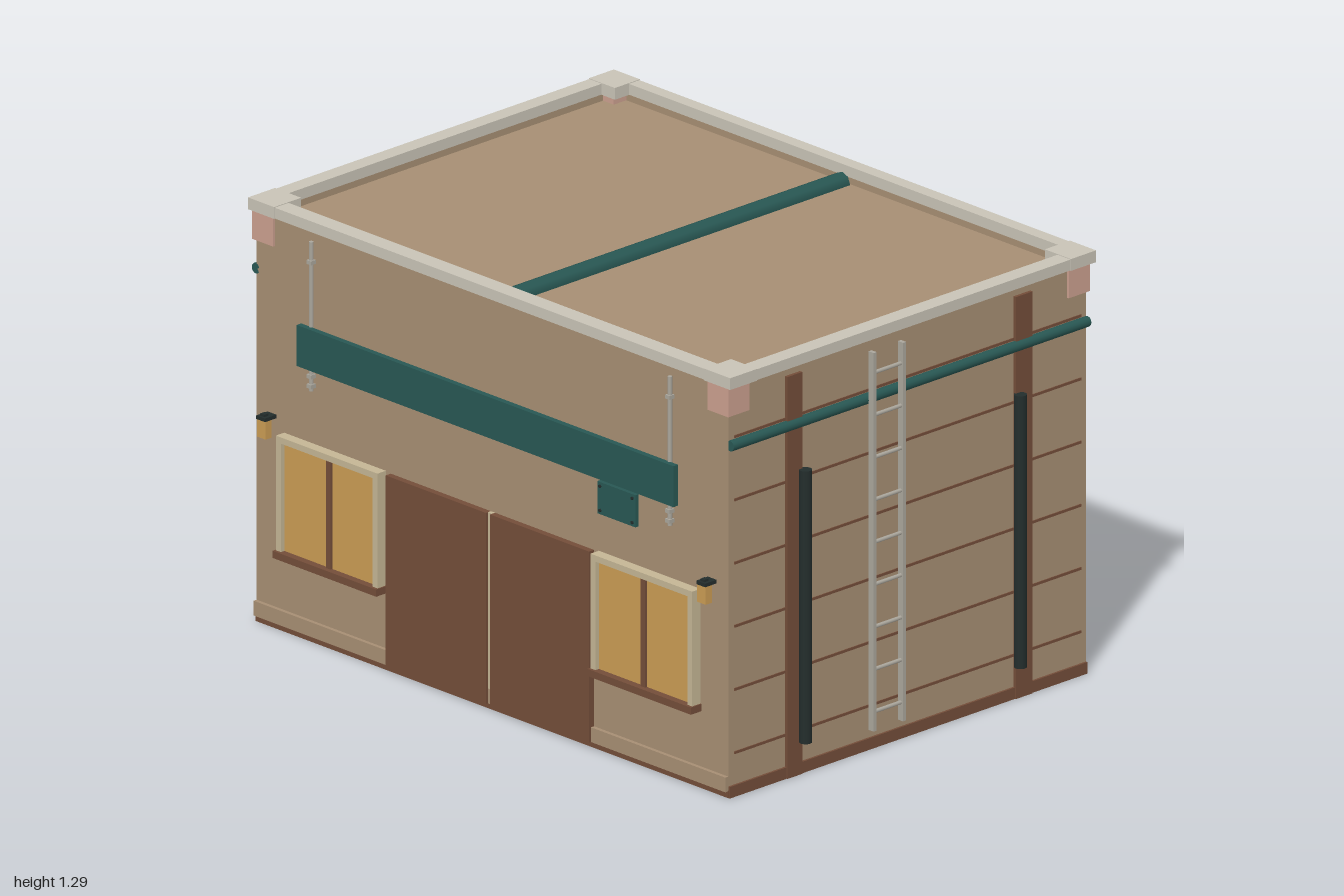
import * as THREE from 'three';

const mat = (name, color) => new THREE.MeshStandardMaterial({ name, color });

export function createModel() {
  const g = new THREE.Group();
  g.name = 'workshopBuilding';
  const tan = mat('tan wall', 0xa68e73), brown = mat('brown timber', 0x734d39);
  const green = mat('green paint', 0x285753), cream = mat('pale trim', 0xc8c3b6);
  const pink = mat('pink corner', 0xcb9f8e), amber = mat('amber glass', 0xca9c54);
  const dark = mat('dark iron', 0x232d2c), grey = mat('grey metal', 0xaaa69c);
  const frameMat = mat('window frame', 0xc4b594);
  const roofGreen = green.clone();
  roofGreen.name = 'green sheet';
  roofGreen.side = THREE.DoubleSide;

  const add = (name, geo, m) => {
    const mesh = new THREE.Mesh(geo, m);
    mesh.name = name;
    g.add(mesh);
    return mesh;
  };
  // box from min and max limits
  const box = (name, m, x0, x1, y0, y1, z0, z1) => {
    const b = add(name, new THREE.BoxGeometry(x1 - x0, y1 - y0, z1 - z0), m);
    b.position.set((x0 + x1) / 2, (y0 + y1) / 2, (z0 + z1) / 2);
    return b;
  };
  // round bar between two points
  const bar = (name, m, a, b, r, sides = 12) => {
    const p = new THREE.Vector3(...a), q = new THREE.Vector3(...b);
    const d = q.clone().sub(p);
    const c = add(name, new THREE.CylinderGeometry(r, r, d.length(), sides), m);
    c.position.copy(p).add(q).multiplyScalar(0.5);
    c.quaternion.setFromUnitVectors(new THREE.Vector3(0, 1, 0), d.normalize());
    return c;
  };

  const L = -0.976, R = 0.955, B = -0.72, F = 0.693, CX = (L + R) / 2;

  // body and base
  box('base', brown, L - 0.002, R + 0.002, 0, 0.022, B - 0.002, F + 0.002);
  box('walls', tan, L, R, 0.022, 1.235, B, F);
  box('plinth', tan, L, R, 0.02, 0.065, F, 0.705);

  // parapet, pale coping and corner pieces
  const ring = (name, m, x0, x1, z0, z1, ix0, ix1, iz0, iz1, y0, y1) => {
    box(name + 'Back', m, x0, x1, y0, y1, z0, iz0);
    box(name + 'Front', m, x0, x1, y0, y1, iz1, z1);
    box(name + 'Right', m, x0, ix0, y0, y1, iz0, iz1);
    box(name + 'Left', m, ix1, x1, y0, y1, iz0, iz1);
  };
  ring('parapet', tan, L, R, B, F, -0.944, 0.922, -0.695, 0.65, 1.235, 1.255);
  ring('coping', cream, -0.995, 0.975, -0.737, 0.705, -0.944, 0.922, -0.695, 0.65, 1.255, 1.288);
  for (const [x0, x1, px0, px1] of [[-0.997, -0.89, -0.987, -0.9], [0.87, 0.977, 0.877, 0.963]])
    for (const [z0, z1, pz0, pz1] of [[-0.739, -0.64, -0.728, -0.645], [0.6, 0.707, 0.618, 0.701]]) {
      box('copingCorner', cream, x0, x1, 1.254, 1.29, z0, z1);
      box('cornerBlock', pink, px0, px1, 1.165, 1.254, pz0, pz1);
    }

  // roof ridge, eave pipes and the sheets between them
  bar('ridge', green, [CX, 1.235, -0.69], [CX, 1.235, 0.645], 0.032, 8);
  for (const [edge, pipeX] of [[L, -0.98], [R, 0.962]]) {
    bar('eavePipe', green, [pipeX, 1.075, B], [pipeX, 1.075, F], 0.016);
    const w = Math.hypot(edge - CX, 0.145);
    const sheet = add('roofSheet', new THREE.PlaneGeometry(w, F - B).rotateX(-Math.PI / 2), roofGreen);
    sheet.position.set((edge + CX) / 2, 1.148, (F + B) / 2);
    sheet.rotation.z = -Math.sign(edge) * Math.asin(0.145 / w);
  }

  // ladder side: boards, posts, drain pipes
  box('sideSkirting', brown, R, 0.962, 0, 0.035, B, F);
  for (let i = 0; i < 6; i++) {
    const y = 0.132 + i * 0.1928;
    box('boardLine', brown, R, 0.958, y - 0.004, y + 0.004, -0.7, 0.67);
  }
  for (const [z0, z1, pz] of [[0.41, 0.469, 0.409], [-0.5, -0.434, -0.44]]) {
    box('sidePost', brown, R, 0.965, 0, 1.226, z0, z1);
    bar('drainPipe', dark, [0.977, 0.1, pz], [0.977, 0.932, pz], 0.019);
  }

  // ladder
  for (const z of [0.038, 0.154])
    box('ladderRail', grey, 0.977, 0.998, 0.07, 1.225, z - 0.006, z + 0.006);
  for (let i = 0; i < 9; i++) {
    const y = 0.126 + i * 0.1293;
    bar('ladderRung', grey, [0.988, y, 0.038], [0.988, y, 0.154], 0.006, 8);
  }

  // double doors
  box('door', brown, -0.427, -0.017, 0.02, 0.603, F, 0.713);
  box('door', brown, 0, 0.405, 0.02, 0.603, F, 0.713);
  box('doorGap', frameMat, -0.017, 0, 0.02, 0.603, F, 0.704);

  // windows
  for (const cx of [-0.655, 0.633]) {
    const w = 0.208, f = 0.02;
    box('windowGlass', amber, cx - w + f, cx + w - f, 0.255, 0.588, F, 0.712);
    box('windowFrameTop', frameMat, cx - w, cx + w, 0.587, 0.606, F, 0.726);
    for (const s of [-1, 1]) {
      const x = cx + s * (w - f / 2);
      box('windowFrameSide', frameMat, x - f / 2, x + f / 2, 0.255, 0.587, F, 0.726);
    }
    box('windowMullion', brown, cx - 0.009, cx + 0.009, 0.255, 0.587, F, 0.72);
    box('windowSill', brown, cx - 0.212, cx + 0.212, 0.234, 0.256, F, 0.735);
  }

  // wall lamps
  for (const x of [-0.913, 0.889]) {
    box('lampGlass', amber, x - 0.018, x + 0.018, 0.587, 0.641, 0.712, 0.736);
    box('lampCap', dark, x - 0.018, x + 0.018, 0.641, 0.652, F, 0.738);
    box('lampKnob', dark, x - 0.008, x + 0.008, 0.652, 0.659, 0.715, 0.732);
  }

  // sign boards and their rods
  box('signBoard', green, -0.782, 0.76, 0.84, 0.965, 0.704, 0.722);
  for (const x of [-0.743, 0.725]) {
    bar('signRod', grey, [x, 0.77, 0.702], [x, 1.225, 0.702], 0.007, 8);
    for (const y of [0.785, 0.815, 1.163])
      box('rodClip', grey, x - 0.009, x + 0.009, y - 0.006, y + 0.006, F, 0.712);
  }
  box('smallSign', green, 0.432, 0.588, 0.726, 0.824, F, 0.706);
  for (const x of [0.444, 0.576])
    for (const y of [0.738, 0.812])
      bar('signBolt', dark, [x, y, 0.704], [x, y, 0.71], 0.005, 8);

  return g;
}
